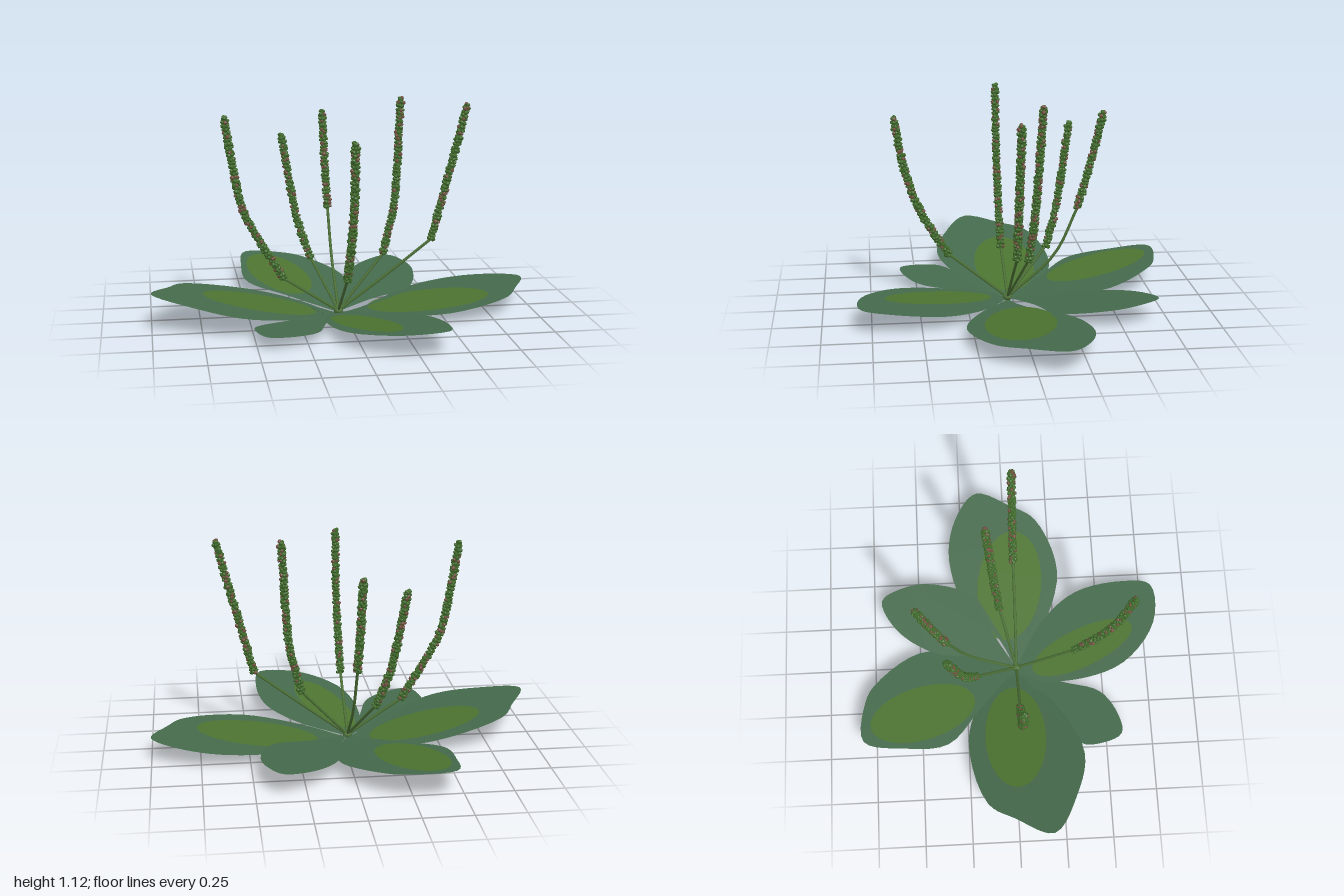
import * as THREE from 'three';
import { mergeGeometries } from 'three/addons/utils/BufferGeometryUtils.js';

const material = (name, color, side = THREE.FrontSide) => {
  const m = new THREE.MeshStandardMaterial({ color, side });
  m.name = name;
  return m;
};

const ORIGIN = new THREE.Vector3(-0.03, 0.02, 0.03);

// Each leaf outline is a closed spline from the crown through a few [x, z] points.
// The patch is an ellipse [x, z, half length, half width, turn]; the blade climbs
// along its own axis by rise, starting at height lift.
const LEAVES = [
  { name: 'leftLeaf', rise: 0.205, lift: -0.01, patch: [-.44, .005, .295, .165, 0],
    edge: [[-.2, -.16], [-.45, -.25], [-.82, -.16], [-.91, -.02], [-1, .18], [-.8, .31], [-.56, .37], [-.3, .26]] },
  { name: 'rightLeaf', rise: 0.112, lift: 0, patch: [.45, .015, .32, .18, .15],
    edge: [[.16, -.07], [.38, -.26], [.66, -.32], [.88, -.26], [1, -.15], [.92, .04], [.83, .18], [.52, .29], [.2, .19]] },
  { name: 'backLeftLeaf', rise: 0.145, lift: 0.01, patch: [-.29, -.49, .295, .15, 1.255],
    edge: [[.05, -.24], [.06, -.5], [-.13, -.75], [-.23, -.8], [-.45, -.81], [-.49, -.6], [-.47, -.36], [-.27, -.18]] },
  { name: 'backRightLeaf', rise: 0.13, lift: 0.015,
    edge: [[.17, -.09], [.38, -.18], [.46, -.44], [.43, -.6], [.36, -.7], [.19, -.62], [.06, -.42], [.03, -.18]] },
  { name: 'frontLeaf', rise: 0.135, lift: 0.01, patch: [.055, .4, .3, .11, 1.2],
    edge: [[-.1, .11], [-.125, .35], [-.05, .62], [.165, .8], [.385, .8], [.42, .645], [.38, .38], [.22, .18]] },
  { name: 'frontLeftLeaf', rise: 0.085, lift: 0.008,
    edge: [[-.28, .2], [-.49, .36], [-.5, .45], [-.45, .58], [-.34, .57], [-.2, .48], [-.13, .28]] },
];

// Flower stalks: optional bend in the bare stem, then the path of the seed spike
const SPIKES = [
  { stem: [], spike: [[-.32, .21, .035], [-.52, .57, .035], [-.57, .8, .035], [-.61, 1.05, .035]] },
  { stem: [], spike: [[-.15, .26, -.19], [-.21, .45, -.25], [-.285, .9, -.33]] },
  { stem: [], spike: [[-.03, .27, .34], [-.03, .5, .48], [-.03, .73, .56], [-.035, 1.0, .61]] },
  { stem: [[-.03, .25, -.22]], spike: [[-.035, .5, -.34], [-.04, .75, -.41], [-.045, 1.0, -.47]] },
  { stem: [], spike: [[.22, .3, -.05], [.28, .55, -.075], [.32, 1.11, -.11]] },
  { stem: [[.24, .22, .035]], spike: [[.46, .39, .035], [.55, .74, .035], [.64, 1.09, .035]] },
];

// Outline points in the shape plane, where y stands for -z
function leafOutline(edge) {
  const knots = [[ORIGIN.x, ORIGIN.z], ...edge].map(([x, z]) => new THREE.Vector3(x, -z, 0));
  const loop = new THREE.CatmullRomCurve3([...knots, knots[0]], false, 'centripetal');
  return loop.getPoints(knots.length * 5).slice(0, -1).map((p) => new THREE.Vector2(p.x, p.y));
}

function patchOutline([x, z, length, width, turn]) {
  const ellipse = new THREE.EllipseCurve(x, -z, length, width, 0, Math.PI * 2, false, -turn);
  return ellipse.getPoints(28).slice(0, -1);
}

// Flat shape turned to the ground and tilted upward along the leaf axis
function bladeGeometry(outline, hole, { edge, rise, lift }) {
  const shape = new THREE.Shape(outline);
  if (hole) shape.holes.push(new THREE.Path(hole));
  const g = new THREE.ShapeGeometry(shape).rotateX(-Math.PI / 2);
  const axis = new THREE.Vector2();
  for (const [x, z] of edge) axis.add(new THREE.Vector2(x - ORIGIN.x, z - ORIGIN.z));
  axis.normalize();
  const p = g.attributes.position;
  for (let i = 0; i < p.count; i++) {
    const d = (p.getX(i) - ORIGIN.x) * axis.x + (p.getZ(i) - ORIGIN.z) * axis.y;
    p.setY(i, Math.max(0.006, lift + rise * d));
  }
  g.computeVertexNormals();
  return g;
}

export function createModel() {
  const model = new THREE.Group();
  const leafGreen = material('leaf green', 0x456a4c, THREE.DoubleSide);
  const patchGreen = material('pale leaf green', 0x4c7330, THREE.DoubleSide);
  const stemGreen = material('stem green', 0x4c7036);
  const seedGreen = material('seed green', 0x3f6a2a);
  const seedBrown = material('seed brown', 0x70503f);

  let seed = 7;
  const rand = () => (seed = (seed * 16807) % 2147483647) / 2147483647;

  const add = (parent, name, geometry, mat) => {
    const mesh = new THREE.Mesh(geometry, mat);
    mesh.name = name;
    parent.add(mesh);
  };

  // Rosette of leaves
  for (const leaf of LEAVES) {
    const group = new THREE.Group();
    group.name = leaf.name;
    const patch = leaf.patch && patchOutline(leaf.patch);
    add(group, 'leafBlade', bladeGeometry(leafOutline(leaf.edge), patch, leaf), leafGreen);
    if (patch) add(group, 'leafPatch', bladeGeometry(patch, null, leaf), patchGreen);
    model.add(group);
  }

  // Crown where everything meets
  const crown = new THREE.SphereGeometry(0.025, 10, 6).scale(1, 0.8, 1);
  add(model, 'crown', crown.translate(ORIGIN.x, 0.02, ORIGIN.z), stemGreen);

  // Stalks with beaded seed spikes
  SPIKES.forEach(({ stem, spike }, n) => {
    const group = new THREE.Group();
    group.name = `flowerStalk${n + 1}`;
    const points = (list) => list.map((p) => new THREE.Vector3(...p));
    const stemCurve = new THREE.CatmullRomCurve3([ORIGIN, ...points(stem), ...points(spike.slice(0, 1))]);
    const curve = new THREE.CatmullRomCurve3(points(spike));
    add(group, 'stem', new THREE.TubeGeometry(stemCurve, 10, 0.0075, 6), stemGreen);
    add(group, 'spikeCore', new THREE.TubeGeometry(curve, 24, 0.014, 6), seedGreen);

    const beads = { green: [], brown: [] };
    const rings = Math.round(curve.getLength() / 0.019);
    const up = new THREE.Vector3(0, 1, 0);
    for (let i = 0; i <= rings; i++) {
      const t = i / rings;
      const centre = curve.getPointAt(t);
      const turn = new THREE.Quaternion().setFromUnitVectors(up, curve.getTangentAt(t));
      for (let k = 0; k < 5; k++) {
        const a = (k / 5) * Math.PI * 2 + i * 0.6 + rand() * 0.4;
        const r = t > 0.98 ? 0.007 : 0.011 + rand() * 0.005;
        const offset = new THREE.Vector3(Math.cos(a) * r, (rand() - 0.5) * 0.01, Math.sin(a) * r);
        const size = 0.009 + rand() * 0.004;
        const bead = new THREE.IcosahedronGeometry(size, 0).rotateY(rand() * 6).rotateX(rand() * 6);
        const at = offset.applyQuaternion(turn).add(centre);
        bead.translate(at.x, at.y, at.z);
        beads[rand() < 0.2 ? 'brown' : 'green'].push(bead);
      }
    }
    add(group, 'greenSeeds', mergeGeometries(beads.green), seedGreen);
    add(group, 'brownSeeds', mergeGeometries(beads.brown), seedBrown);
    model.add(group);
  });

  return model;
}
